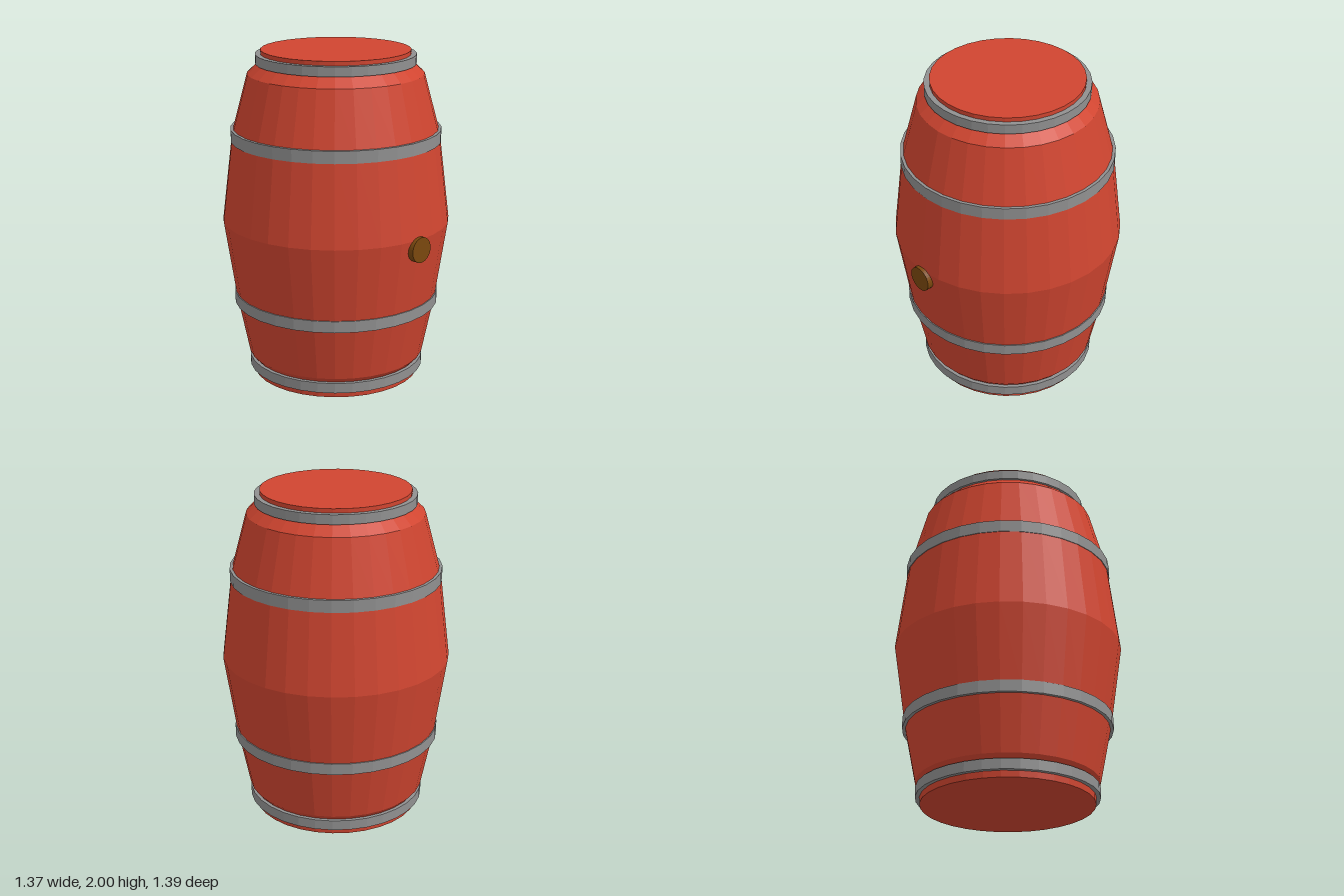
import * as THREE from 'three';

const SIDES = 32;
const AXIS_Z = -0.008;

const paint = (color) => new THREE.MeshStandardMaterial({ color, flatShading: true });

// Revolves [radius, height] pairs, listed from bottom to top
function turned(name, profile, material) {
  const points = profile.map(([r, y]) => new THREE.Vector2(r, y));
  const mesh = new THREE.Mesh(new THREE.LatheGeometry(points, SIDES), material);
  mesh.name = name;
  return mesh;
}

export function createModel() {
  const model = new THREE.Group();
  model.name = 'barrel';

  const red = paint(0xd04530);
  const steel = paint(0x909090);
  const brown = paint(0x7a480e);

  const barrel = new THREE.Group();
  barrel.name = 'barrelBody';
  barrel.position.z = AXIS_Z;
  model.add(barrel);

  // Bulging body with closed ends and narrow shoulders
  barrel.add(turned('body', [
    [0, 0], [0.51, 0], [0.515, 0.1], [0.54, 0.13], [0.613, 0.49],
    [0.686, 0.975], [0.622, 1.5], [0.525, 1.86], [0.46, 1.92],
    [0.445, 1.96], [0.445, 2], [0, 2],
  ], red));

  // Metal hoops: name, outer radius, inner radius, bottom, top
  const hoops = [
    ['bottomHoop', 0.537, 0.5, 0.038, 0.1],
    ['lowerHoop', 0.625, 0.595, 0.455, 0.525],
    ['upperHoop', 0.631, 0.6, 1.46, 1.533],
    ['topHoop', 0.477, 0.44, 1.918, 1.975],
  ];
  for (const [name, outer, inner, y0, y1] of hoops) {
    barrel.add(turned(name, [[inner, y0], [outer, y0], [outer, y1], [inner, y1]], steel));
  }

  // Round plug on the front
  const plug = new THREE.Mesh(new THREE.CylinderGeometry(0.076, 0.076, 0.07, SIDES), brown);
  plug.name = 'plug';
  plug.rotation.x = Math.PI / 2;
  plug.position.set(0, 0.918, 0.662);
  model.add(plug);

  return model;
}
